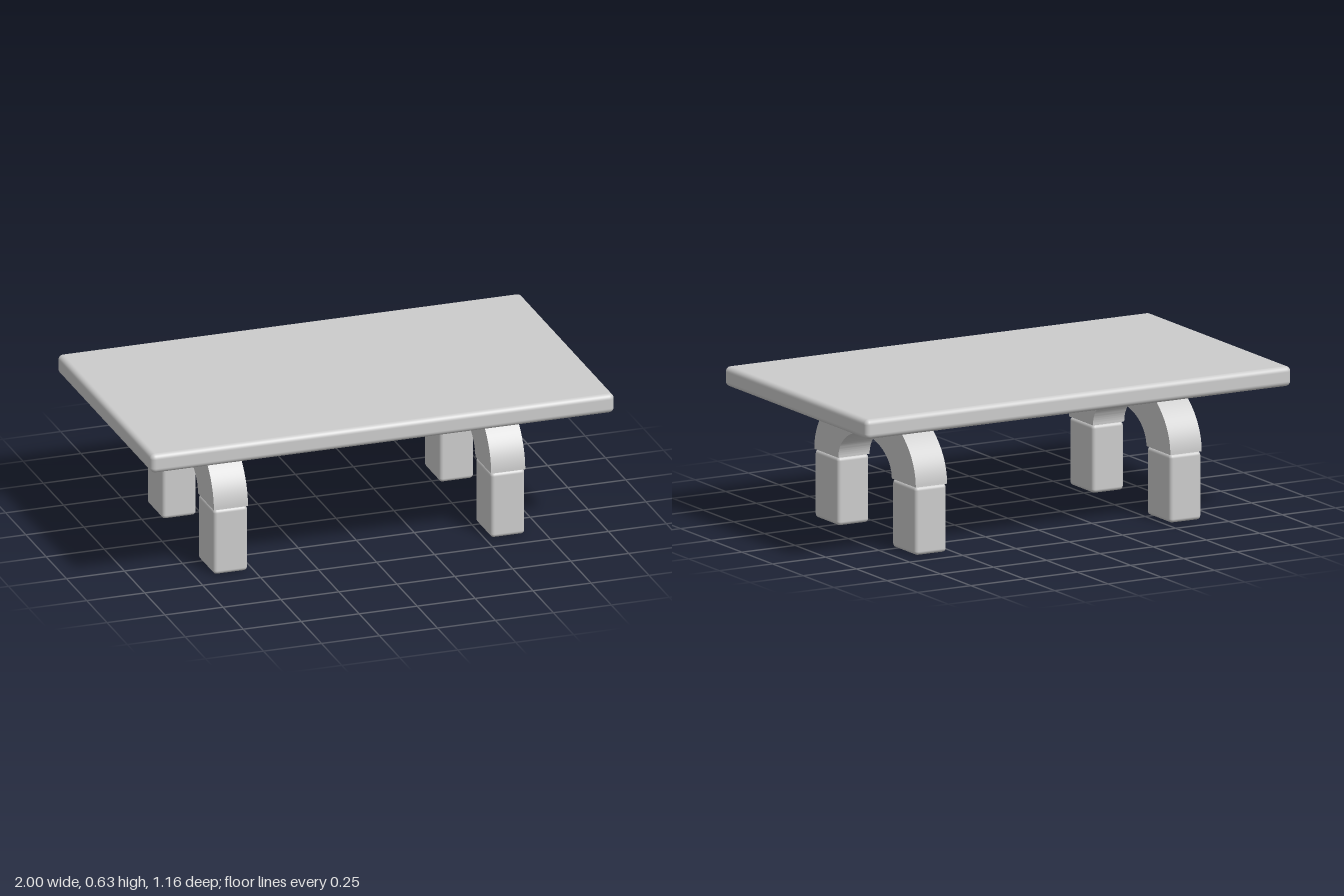
import * as THREE from 'three';
import { RoundedBoxGeometry } from 'three/addons/geometries/RoundedBoxGeometry.js';
import { toCreasedNormals } from 'three/addons/utils/BufferGeometryUtils.js';

const material = new THREE.MeshStandardMaterial({ color: 0xcccccc });

function addMesh(parent, name, geometry, x, y, z) {
  const mesh = new THREE.Mesh(geometry, material);
  mesh.name = name;
  mesh.position.set(x, y, z);
  parent.add(mesh);
  return mesh;
}

export function createModel() {
  const table = new THREE.Group();
  table.name = 'table';

  const topBottom = 0.552, topHeight = 0.083;
  const legHeight = 0.285, legWidth = 0.147;
  const outer = 0.414, inner = 0.218; // depth limits of legs and arch

  // Slab with softly rounded edges
  addMesh(table, 'tableTop', new RoundedBoxGeometry(2, topHeight, 1.164, 4, 0.022),
    0, topBottom + topHeight / 2, 0);

  // Half-elliptical arch profile, extruded across the width of the legs
  const profile = new THREE.Shape();
  profile.moveTo(outer, 0);
  profile.absellipse(0, 0, outer, 0.29, 0, Math.PI, false);
  profile.lineTo(-inner, 0);
  profile.absellipse(0, 0, inner, 0.141, Math.PI, 0, true);
  profile.closePath();
  const archGeometry = toCreasedNormals(
    new THREE.ExtrudeGeometry(profile, { depth: legWidth, bevelEnabled: false, curveSegments: 48 })
      .translate(0, 0, -legWidth / 2)
      .rotateY(Math.PI / 2), 0.5);

  const legGeometry = new RoundedBoxGeometry(legWidth, legHeight, outer - inner, 4, 0.016);

  // Two supports, each an arch standing on a front and a back leg
  for (const [side, x] of [['left', 0.598], ['right', -0.598]]) {
    const support = new THREE.Group();
    support.name = side + 'Support';
    support.position.x = x;
    table.add(support);
    addMesh(support, side + 'Arch', archGeometry, 0, legHeight, 0);
    for (const [end, sign] of [['Front', 1], ['Back', -1]]) {
      addMesh(support, side + end + 'Leg', legGeometry, 0, legHeight / 2, sign * (outer + inner) / 2);
    }
  }
  return table;
}
